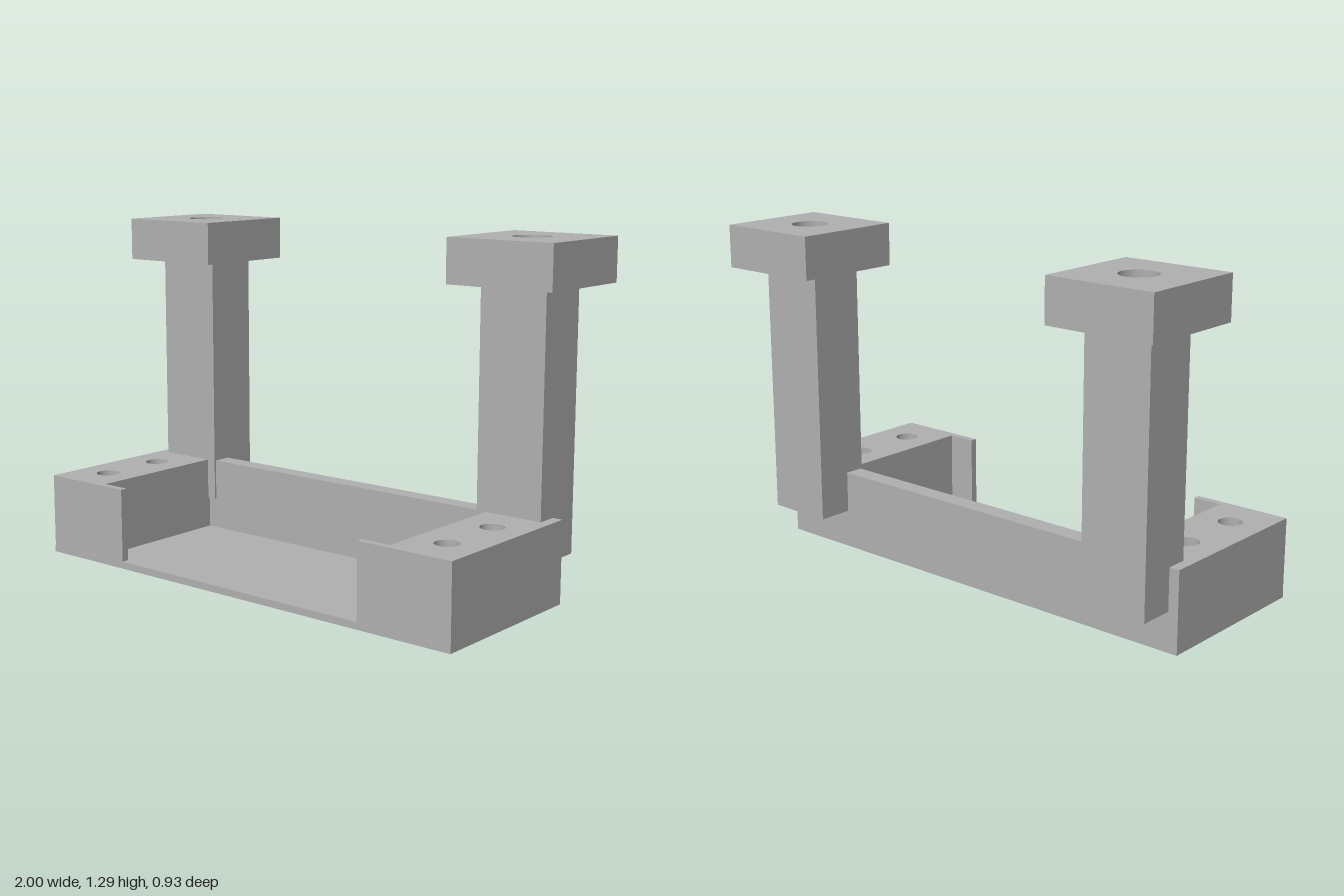
import * as THREE from 'three';

const grey = new THREE.MeshStandardMaterial({ color: 0xb0b0b0 });
grey.name = 'plain grey';

// Upright slab over a rectangle in x and z, with optional round holes [x, z, radius]
function slab(name, [x0, x1], [y0, y1], [z0, z1], holes = []) {
  const shape = new THREE.Shape([
    new THREE.Vector2(x0, -z1), new THREE.Vector2(x1, -z1),
    new THREE.Vector2(x1, -z0), new THREE.Vector2(x0, -z0),
  ]);
  for (const [x, z, r] of holes) {
    shape.holes.push(new THREE.Path().absarc(x, -z, r, 0, Math.PI * 2, true));
  }
  const geometry = new THREE.ExtrudeGeometry(shape, {
    depth: y1 - y0, bevelEnabled: false, curveSegments: 40,
  });
  geometry.rotateX(-Math.PI / 2).translate(0, y0, 0);
  const mesh = new THREE.Mesh(geometry, grey);
  mesh.name = name;
  return mesh;
}

export function createModel() {
  const model = new THREE.Group();
  model.name = 'bracket';

  // Tray floor and back wall
  model.add(
    slab('trayFloor', [-0.955, 0.955], [0, 0.027], [-0.217, 0.465]),
    slab('backWall', [-0.685, 0.685], [0.027, 0.31], [-0.217, -0.145]),
  );

  for (const [side, s] of [['left', 1], ['right', -1]]) {
    const span = (a, b) => (s > 0 ? [a, b] : [-b, -a]);

    // End block with two screw holes, and the lip that holds the front
    model.add(
      slab(side + 'EndBlock', span(0.685, 0.955), [0.027, 0.31], [-0.217, 0.463],
        [[s * 0.82, 0.025, 0.045], [s * 0.82, 0.297, 0.045]]),
      slab(side + 'FrontLip', span(0.57, 0.685), [0.027, 0.31], [0.435, 0.463]),
    );

    // Post behind the tray, topped by a drilled cap
    model.add(
      slab(side + 'Post', span(0.647, 0.915), [0.15, 1.13], [-0.354, -0.137]),
      slab(side + 'Cap', span(0.57, 1), [1.13, 1.295], [-0.465, -0.032],
        [[s * 0.783, -0.248, 0.07]]),
    );
  }
  return model;
}
